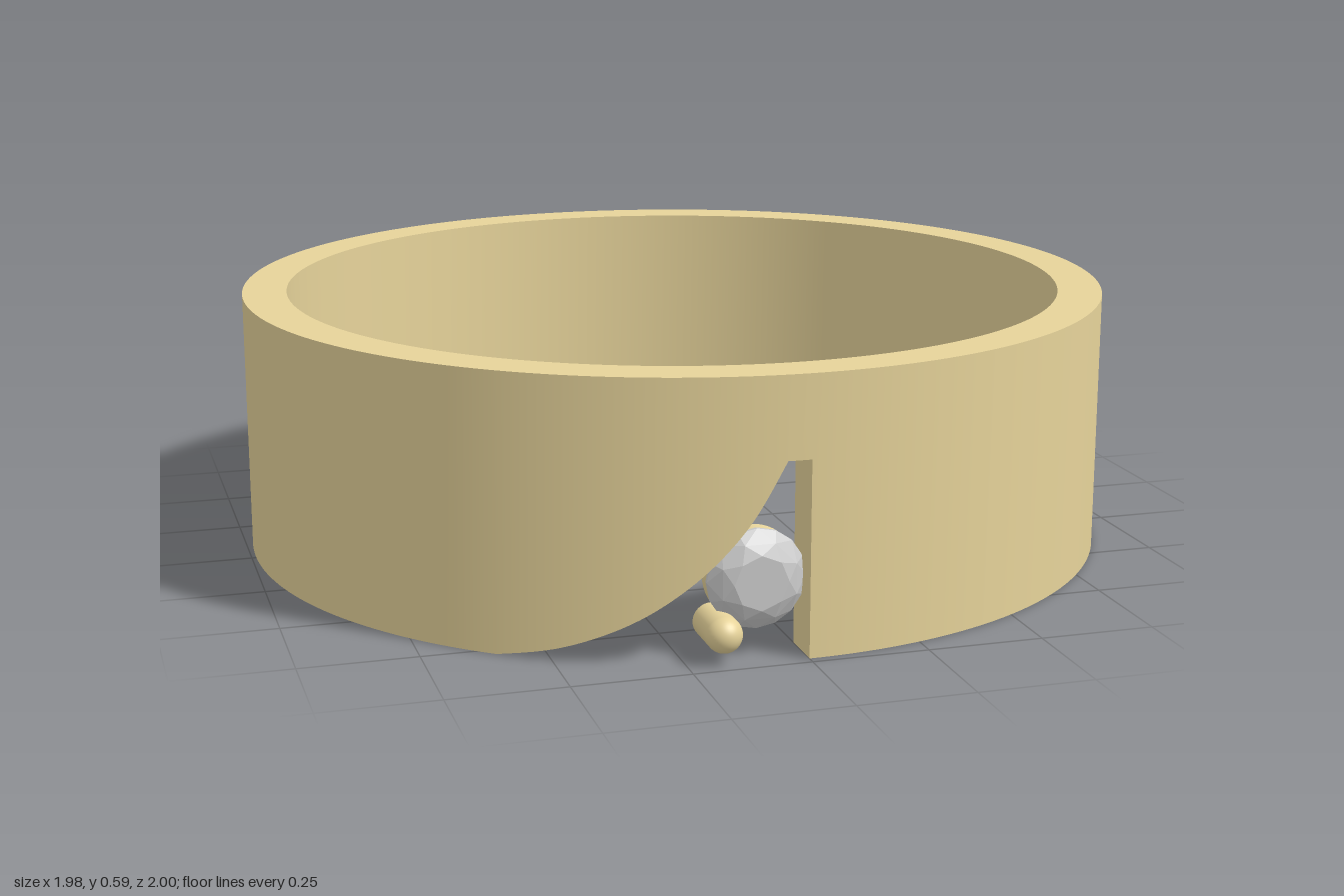
import * as THREE from 'three';
import { toCreasedNormals } from 'three/addons/utils/BufferGeometryUtils.js';
import { ConvexGeometry } from 'three/addons/geometries/ConvexGeometry.js';

const R_OUT = 0.99, R_IN = 0.89, HEIGHT = 0.59, RING_Z = -0.01;
const GEM = { x: -0.095, y: 0.16, r: 0.105 };

// Band swept around the axis as rectangles whose lower edge follows the notch.
function bandGeometry() {
  const notchStart = -0.65;
  const stations = [];
  const plain = 180;
  for (let i = 0; i < plain; i++) {
    stations.push([(i / plain) * (Math.PI * 2 + notchStart), 0]);
  }
  const curve = new THREE.SplineCurve([
    [notchStart, 0], [-0.52, 0.025], [-0.4, 0.068], [-0.3, 0.123],
    [-0.203, 0.2], [-0.12, 0.295], [-0.05, 0.415],
  ].map(([a, h]) => new THREE.Vector2(a, h)));
  curve.getPoints(36).forEach((p) => stations.push([p.x, Math.max(0, p.y)]));
  stations.push([-0.025, 0.415], [0, 0.415]);

  const pos = [], idx = [];
  for (const [a, h] of stations) {
    for (const [r, y] of [[R_IN, h], [R_OUT, h], [R_OUT, HEIGHT], [R_IN, HEIGHT]]) {
      pos.push(r * Math.sin(a), y, r * Math.cos(a));
    }
  }
  for (let i = 0; i < stations.length - 1; i++) {
    for (let k = 0; k < 4; k++) {
      const a = i * 4 + k, b = i * 4 + ((k + 1) % 4), c = b + 4, d = a + 4;
      idx.push(a, c, b, a, d, c);
    }
  }
  // Upright wall of the notch at x = 0, below the end section
  const e = (stations.length - 1) * 4;
  idx.push(0, 1, e + 1, 0, e + 1, e);

  const geo = new THREE.BufferGeometry();
  geo.setAttribute('position', new THREE.Float32BufferAttribute(pos, 3));
  geo.setIndex(idx);
  return toCreasedNormals(geo, 0.5);
}

// Brilliant cut: table, crown, girdle and pavilion rings in one convex hull
function gemGeometry(r) {
  const points = [new THREE.Vector3(0, 0, -0.045)];
  const ring = (count, radius, z, turn = 0) => {
    for (let i = 0; i < count; i++) {
      const a = ((i + turn) / count) * Math.PI * 2;
      points.push(new THREE.Vector3(radius * Math.cos(a), radius * Math.sin(a), z));
    }
  };
  ring(8, r * 0.55, 0.04);
  ring(8, r * 0.8, 0.027, 0.5);
  ring(16, r, 0.004);
  ring(16, r, -0.004);
  return new ConvexGeometry(points);
}

export function createModel() {
  const group = new THREE.Group();
  const gold = new THREE.MeshStandardMaterial({ color: 0xe6d39a });
  const goldBand = new THREE.MeshStandardMaterial({ color: 0xe6d39a, side: THREE.DoubleSide });
  const stone = new THREE.MeshStandardMaterial({ color: 0xcccccc, flatShading: true });
  const add = (name, geo, mat, x, y, z) => {
    const mesh = new THREE.Mesh(geo, mat);
    mesh.name = name;
    mesh.position.set(x, y, z);
    group.add(mesh);
    return mesh;
  };

  add('band', bandGeometry(), goldBand, 0, 0, RING_Z);
  add('gem', gemGeometry(GEM.r), stone, GEM.x, GEM.y, 0.92);

  // Seat behind the stone, reaching the inside of the band
  const seat = new THREE.CylinderGeometry(0.1, 0.1, 0.035, 48).rotateX(Math.PI / 2);
  add('gemSeat', seat, gold, GEM.x, GEM.y, 0.8925);

  // Round-tipped prong beside the stone
  const prong = new THREE.Group();
  prong.name = 'prong';
  const shaft = new THREE.Mesh(
    new THREE.CylinderGeometry(0.038, 0.038, 0.092, 32).rotateX(Math.PI / 2), gold);
  shaft.name = 'prongShaft';
  shaft.position.z = -0.046;
  const tip = new THREE.Mesh(
    new THREE.SphereGeometry(0.038, 32, 12, 0, Math.PI * 2, 0, Math.PI / 2).rotateX(Math.PI / 2), gold);
  tip.name = 'prongTip';
  prong.add(shaft, tip);
  prong.position.set(-0.175, 0.062, 0.962);
  group.add(prong);

  return group;
}
